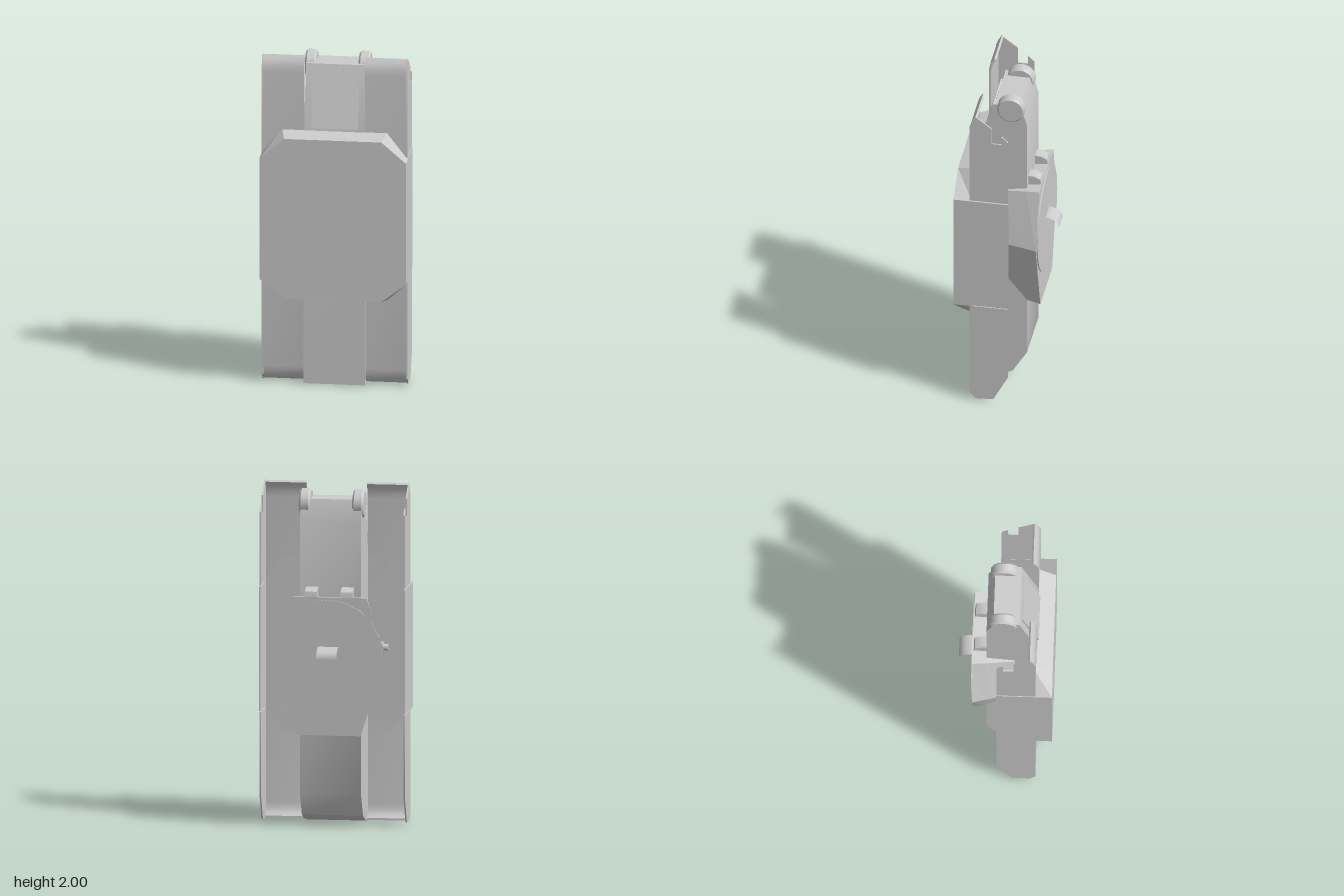
import * as THREE from 'three';
import { toCreasedNormals } from 'three/addons/utils/BufferGeometryUtils.js';

const mat = new THREE.MeshStandardMaterial({ color: 0xcccccc });

// Side profile given as [z, y] points, extruded across x from x0 to x1
function extrudeX(profile, x0, x1) {
  const shape = new THREE.Shape(profile.map(([z, y]) => new THREE.Vector2(-z, y)));
  const geo = new THREE.ExtrudeGeometry(shape, { depth: x1 - x0, bevelEnabled: false });
  geo.rotateY(Math.PI / 2).translate(x0, 0, 0);
  return toCreasedNormals(geo, 0.6);
}

// Solid through outlines of [x, y] points, counter-clockwise, stacked towards +z
function loftZ(rings) {
  const pos = [];
  const pts = rings.map(({ z, outline }) => outline.map(([x, y]) => [x, y, z]));
  const n = pts[0].length;
  const tri = (a, b, c) => pos.push(...a, ...b, ...c);
  for (let i = 0; i < pts.length - 1; i++) {
    for (let j = 0; j < n; j++) {
      const k = (j + 1) % n;
      tri(pts[i][j], pts[i][k], pts[i + 1][k]);
      tri(pts[i][j], pts[i + 1][k], pts[i + 1][j]);
    }
  }
  const first = pts[0], last = pts[pts.length - 1];
  for (let j = 1; j < n - 1; j++) {
    tri(first[0], first[j + 1], first[j]);
    tri(last[0], last[j], last[j + 1]);
  }
  const geo = new THREE.BufferGeometry();
  geo.setAttribute('position', new THREE.Float32BufferAttribute(pos, 3));
  geo.computeVertexNormals();
  return geo;
}

export function createModel() {
  const model = new THREE.Group();
  const add = (name, geo, x = 0, y = 0, z = 0) => {
    const mesh = new THREE.Mesh(geo, mat);
    mesh.name = name;
    mesh.position.set(x, y, z);
    model.add(mesh);
    return mesh;
  };

  // Central hull with sloped top and bottom ends
  add('hull', extrudeX([
    [0.195, 0.005], [0.195, 0.56], [0.18, 1.56], [0.078, 1.93], [-0.075, 1.93],
    [-0.115, 1.8], [-0.115, 0.2], [-0.03, 0.06], [0.05, 0.025], [0.16, 0],
  ], -0.18, 0.18));
  const hatch = add('hatchPanel', new THREE.BoxGeometry(0.27, 0.34, 0.02), 0, 1.73, 0.133);
  hatch.rotation.x = -Math.atan2(0.102, 0.37);

  // Octagonal front slab, slightly tapered
  const octagon = (bx, top, bottom) => [
    [0.43, 0.66], [0.43, 1.4], [bx, top], [-bx, top],
    [-0.43, 1.4], [-0.43, 0.66], [-bx, bottom], [bx, bottom],
  ];
  add('frontSlab', loftZ([
    { z: 0.165, outline: octagon(0.31, 1.555, 0.525) },
    { z: 0.275, outline: octagon(0.285, 1.525, 0.545) },
  ]));

  // Fender sheet: outer curve and its inner return
  const fender = [
    [0.145, 2], [0.165, 1.97], [0.175, 1.94], [0.178, 1.9], [0.178, 0.1], [0.172, 0.06],
    [0.158, 0.03], [0.13, 0.01], [0.13, 0.022], [0.15, 0.042], [0.161, 0.07], [0.165, 0.1],
    [0.165, 1.9], [0.162, 1.935], [0.153, 1.965], [0.135, 1.99],
  ];
  const skirtTop = [
    [0.18, 1.406], [0.18, 1.93], [0.148, 2], [0.05, 1.925], [0.05, 1.82],
    [-0.01, 1.82], [-0.01, 1.875], [-0.047, 1.84], [-0.047, 1.406],
  ];
  const skirtMiddle = [[0.18, 0.666], [0.18, 1.4], [-0.05, 1.4], [-0.05, 0.666]];
  const skirtBottom = [
    [0.18, 0.66], [0.18, 0.05], [0.145, 0.01], [0.04, 0.015], [-0.047, 0.18], [-0.047, 0.66],
  ];

  // Bevelled hinge roller, axis along x
  const roller = new THREE.LatheGeometry(
    [[0, -0.033], [0.072, -0.033], [0.083, -0.022], [0.083, 0.022], [0.072, 0.033], [0, 0.033]]
      .map(([r, h]) => new THREE.Vector2(r, h)), 28);
  roller.rotateZ(Math.PI / 2);
  const rollerGeo = toCreasedNormals(roller, 0.5);

  for (const [side, s] of [['left', 1], ['right', -1]]) {
    const span = (profile, a, b) => extrudeX(profile, Math.min(s * a, s * b), Math.max(s * a, s * b));
    add(side + 'Fender', span(fender, 0.178, 0.422));
    add(side + 'UpperSkirt', span(skirtTop, 0.419, 0.428));
    add(side + 'MiddleSkirt', span(skirtMiddle, 0.42, 0.43));
    add(side + 'LowerSkirt', span(skirtBottom, 0.419, 0.428));
    add(side + 'Roller', rollerGeo, s * 0.157, 1.9, -0.018);

    // Pivot pin on the side of the turret
    const pin = add(side + 'PivotPin', new THREE.CylinderGeometry(0.02, 0.02, 0.1, 12), s * 0.272, 1.05, 0.01);
    const collar = add(side + 'PivotCollar', new THREE.CylinderGeometry(0.034, 0.034, 0.06, 12), s * 0.265, 1.05, 0.01);
    pin.rotation.z = collar.rotation.z = Math.PI / 2;

    // Rounded lug on the upper edge of the turret
    add(side + 'TurretLug', span([
      [-0.1, 1.34], [-0.1, 1.405], [-0.115, 1.42], [-0.15, 1.417], [-0.185, 1.4], [-0.193, 1.36], [-0.193, 1.34],
    ], 0.07, 0.14));
  }

  // Six-sided turret, widest at its rear face
  const hexagon = (tx, ty, mx, bx, by) => [
    [mx, 1.03], [tx, ty], [-tx, ty], [-mx, 1.03], [-bx, by], [bx, by],
  ];
  add('turret', loftZ([
    { z: -0.195, outline: hexagon(0.225, 1.37, 0.34, 0.19, 0.555) },
    { z: -0.115, outline: hexagon(0.215, 1.36, 0.32, 0.187, 0.575) },
    { z: 0.05, outline: hexagon(0.187, 1.33, 0.28, 0.184, 0.78) },
  ]));
  const disc = add('turretDisc', new THREE.CylinderGeometry(0.316, 0.316, 0.01, 20), 0, 1.04, -0.197);
  disc.rotation.x = Math.PI / 2;

  // Curved hood standing out of the disc, a one-sided sheet
  const hood = new THREE.PlaneGeometry(0.12, 1, 1, 8);
  const p = hood.attributes.position;
  for (let i = 0; i < p.count; i++) {
    const t = (p.getY(i) + 0.5) * Math.PI / 2;
    p.setXYZ(i, p.getX(i), 1.02 + 0.06 * Math.cos(t), -0.2 - 0.08 * Math.sin(t));
  }
  hood.computeVertexNormals();
  add('discHood', hood);

  // Small nozzle beside the hull
  const nozzle = add('nozzle', new THREE.CylinderGeometry(0.018, 0.035, 0.06, 12), -0.215, 1.03, 0.075);
  nozzle.rotation.x = Math.PI / 2;
  add('nozzleRing', new THREE.TorusGeometry(0.013, 0.008, 8, 16), -0.21, 1.03, 0.103);

  return model;
}
